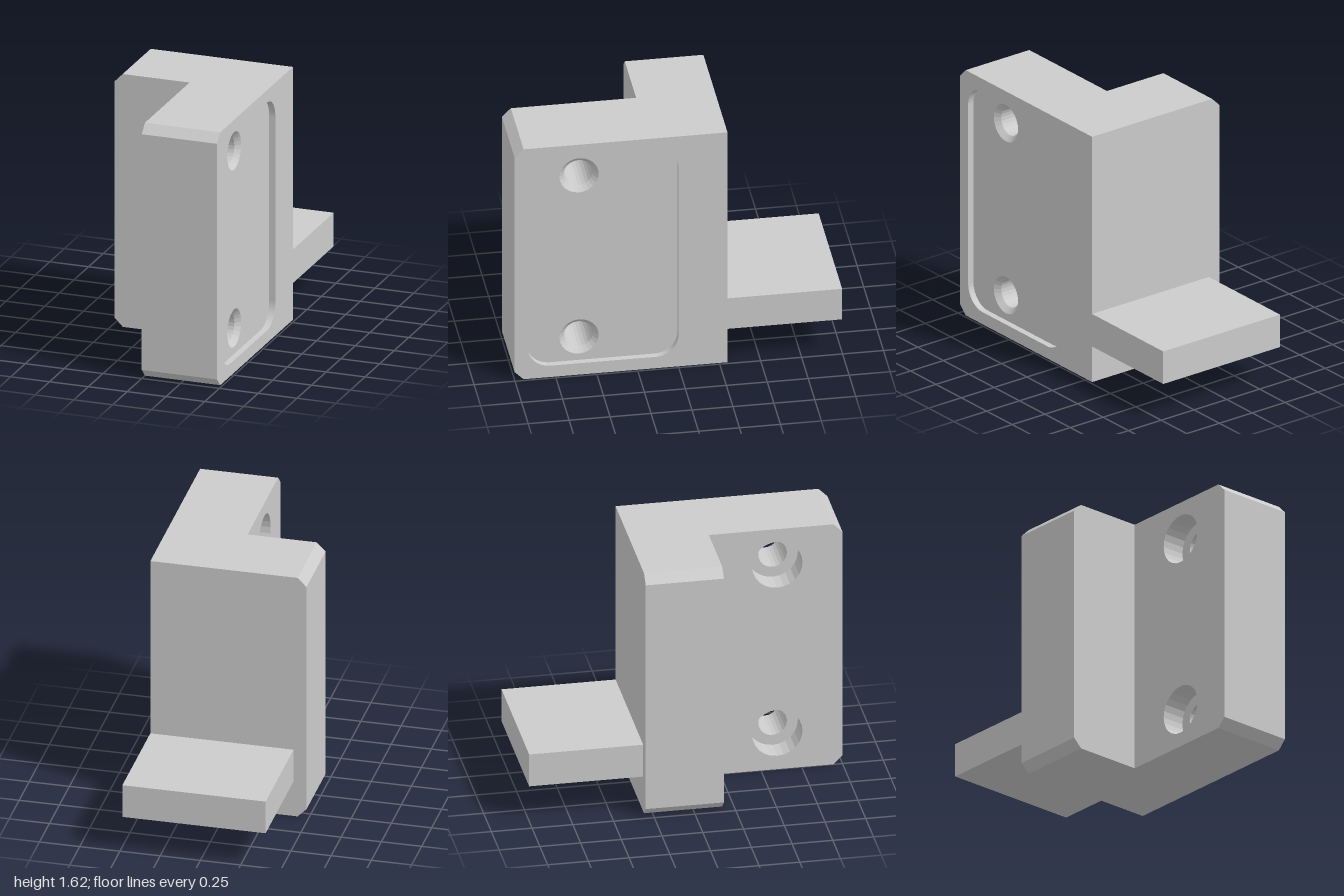
import * as THREE from 'three';

const H = 1.62, RIGHT = 0.485, BACK = -0.3, BEVEL = 0.055;
const HOLES = [[0.6, 1.38], [0.6, 0.245]]; // z, y

export function createModel() {
  const group = new THREE.Group();
  const material = new THREE.MeshStandardMaterial({ color: 0xcccccc, flatShading: true });

  const add = (name, geometry, mat = material) => {
    const mesh = new THREE.Mesh(geometry, mat);
    mesh.name = name;
    group.add(mesh);
    return mesh;
  };

  const polygon = (points) => new THREE.Shape(points.map(([a, b]) => new THREE.Vector2(a, b)));
  const circle = (z, y, r) => new THREE.Path().absarc(z, y, r, 0, Math.PI * 2, true);

  // Outline with two bevelled corners at the far end
  const bevelled = (near, far) => {
    const s = Math.sign(far - near) * BEVEL;
    return polygon([[near, 0], [far - s, 0], [far, BEVEL], [far, H - BEVEL], [far - s, H], [near, H]]);
  };

  const roundedRect = (z0, z1, y0, y1, r) => {
    const p = new THREE.Path();
    p.absarc(z1 - r, y1 - r, r, 0, Math.PI / 2);
    p.absarc(z0 + r, y1 - r, r, Math.PI / 2, Math.PI);
    p.absarc(z0 + r, y0 + r, r, Math.PI, Math.PI * 1.5);
    p.absarc(z1 - r, y0 + r, r, Math.PI * 1.5, Math.PI * 2);
    p.closePath();
    return p;
  };

  // One slice of the plate between two x positions, drawn in the z-y plane
  const slice = (name, x0, x1, cutouts) => {
    const shape = bevelled(BACK, 1);
    shape.holes.push(...cutouts);
    const geometry = new THREE.ExtrudeGeometry(shape, { depth: x1 - x0, bevelEnabled: false, curveSegments: 12 });
    geometry.rotateY(-Math.PI / 2).translate(x1, 0, 0);
    add(name, geometry);
  };
  const holes = (r) => HOLES.map(([z, y]) => circle(z, y, r));

  // Mounting plate: counterbores, screw holes, countersinks, shallow recess
  slice('plateCounterbore', 0, 0.15, holes(0.155));
  slice('plateCore', 0.15, 0.413, holes(0.088));
  slice('plateCountersink', 0.413, 0.445, holes(0.12));
  slice('plateRim', 0.445, RIGHT, [roundedRect(0, 0.92, 0.08, 1.54, 0.14)]);

  // Tapered walls of the countersinks
  const inside = material.clone();
  inside.side = THREE.DoubleSide;
  for (const [z, y] of HOLES) {
    const cone = new THREE.CylinderGeometry(0.12, 0.088, 0.032, 24, 1, true);
    cone.rotateZ(-Math.PI / 2);
    add('countersink', cone, inside).position.set(0.429, y, z);
  }

  // Side block with bevelled top and bottom edges
  const block = new THREE.ExtrudeGeometry(bevelled(0, -0.485), { depth: 0.48, bevelEnabled: false });
  add('sideBlock', block.translate(0, 0, BACK));

  // Horizontal tongue at the back
  add('tongue', new THREE.BoxGeometry(0.89, 0.215, 0.7)).position.set(0.04, 0.3425, -0.65);

  return group;
}
